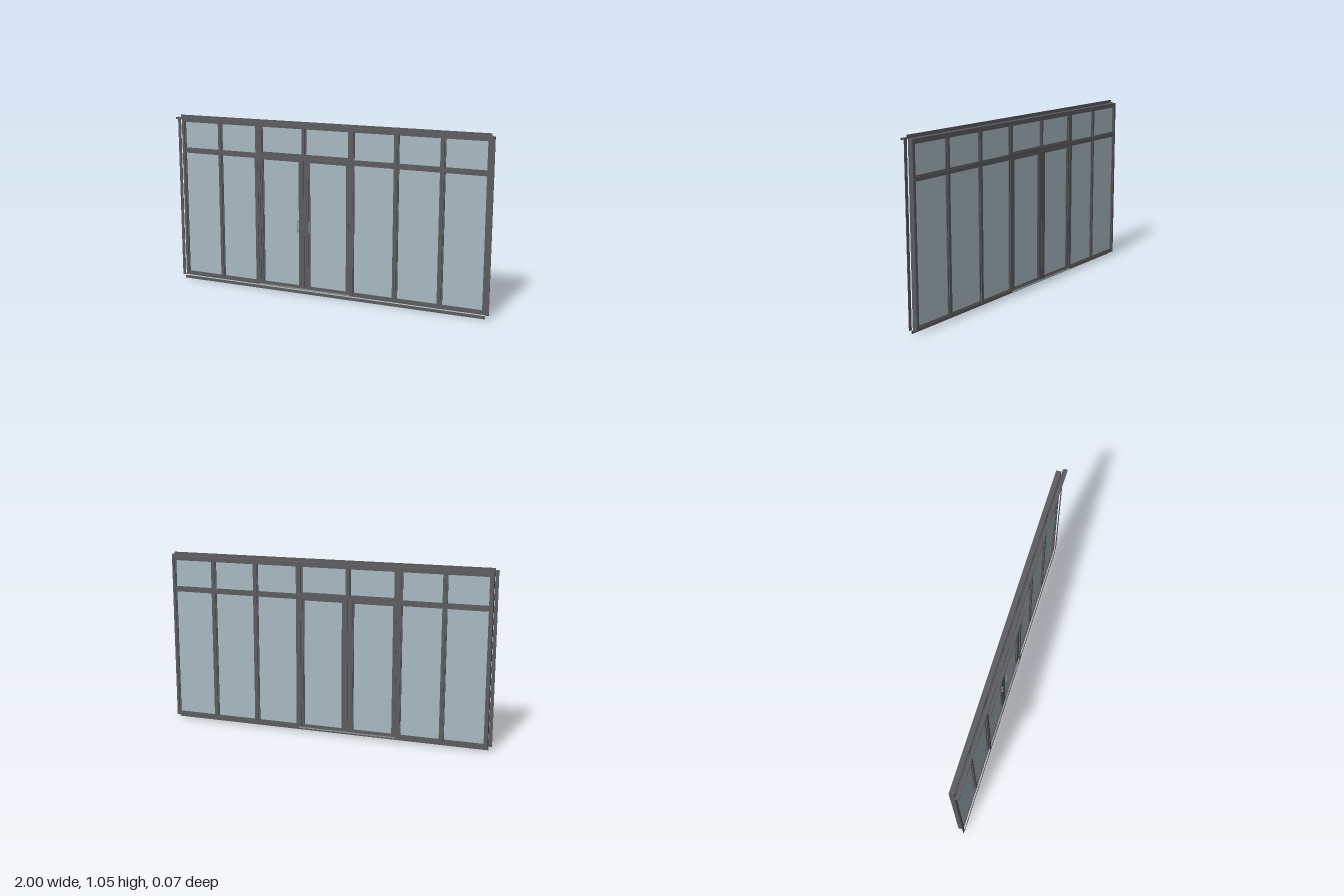
import * as THREE from 'three';

export function createModel() {
  const model = new THREE.Group();
  model.name = 'doorAndWindowWall';

  const frameMat = new THREE.MeshStandardMaterial({ color: 0x5c5c60 });
  frameMat.name = 'dark grey frame';
  const glassMat = new THREE.MeshStandardMaterial({ color: 0xa8bac2 });
  glassMat.name = 'pale blue glass';
  const metalMat = new THREE.MeshStandardMaterial({ color: 0x858f90 });
  metalMat.name = 'light metal';

  // Box given by its limits on each axis
  function box(name, x0, x1, y0, y1, z0, z1, mat = frameMat, parent = model) {
    const mesh = new THREE.Mesh(new THREE.BoxGeometry(x1 - x0, y1 - y0, z1 - z0), mat);
    mesh.position.set((x0 + x1) / 2, (y0 + y1) / 2, (z0 + z1) / 2);
    mesh.name = name;
    parent.add(mesh);
    return mesh;
  }

  function rectangle(target, [x0, x1, y0, y1]) {
    target.moveTo(x0, y0);
    target.lineTo(x1, y0);
    target.lineTo(x1, y1);
    target.lineTo(x0, y1);
    target.closePath();
    return target;
  }

  // Flat panel with rectangular openings
  function panel(name, outer, openings, z0, z1, parent = model) {
    const shape = rectangle(new THREE.Shape(), outer);
    for (const o of openings) shape.holes.push(rectangle(new THREE.Path(), o));
    const geometry = new THREE.ExtrudeGeometry(shape, { depth: z1 - z0, bevelEnabled: false });
    const mesh = new THREE.Mesh(geometry, frameMat);
    mesh.position.z = z0;
    mesh.name = name;
    parent.add(mesh);
  }

  const grow = ([x0, x1, y0, y1], d) => [x0 - d, x1 + d, y0 - d, y1 + d];
  const BEAD = 0.007;

  // Glass with a recessed bead around it
  function glazing(name, pane, z0, z1, parent = model) {
    panel(name + 'Bead', grow(pane, BEAD), [pane], z0, z1, parent);
    const [x0, x1, y0, y1] = pane;
    box(name + 'Glass', x0, x1, y0, y1, -0.015, -0.008, glassMat, parent);
  }

  // Fixed lights: tall panes beside the doors, short panes above
  const columns = [[-0.957, -0.727], [-0.698, -0.47], [0.176, 0.417], [0.449, 0.69], [0.722, 0.957]];
  const panes = [];
  for (const [x0, x1] of columns) {
    panes.push([x0, x1, 0.045, 0.808], [x0, x1, 0.84, 1.0]);
  }
  panes.push([-0.42, -0.16, 0.85, 1.0], [-0.13, 0.137, 0.85, 1.0]);
  const doorway = [-0.436, 0.146, 0.032, 0.82];
  panel('mainFrame', [-0.98, 0.98, 0.022, 1.028],
    [...panes.map((p) => grow(p, BEAD)), doorway], -0.026, 0.004);
  for (const p of panes) glazing('window', p, -0.021, -0.002);

  // Pair of doors mirrored about the middle of the doorway
  const middle = -0.145;
  for (const side of [-1, 1]) {
    const door = new THREE.Group();
    door.name = side < 0 ? 'rightDoor' : 'leftDoor';
    const span = (a, b) => [middle + side * a, middle + side * b].sort((p, q) => p - q);
    const pane = [...span(0.037, 0.27), 0.045, 0.803];
    panel('doorLeaf', [...span(0.001, 0.29), 0.033, 0.819], [grow(pane, BEAD)], -0.024, 0.002, door);
    glazing('door', pane, -0.02, -0.003, door);

    // Pull handle: a bar on two posts
    const [h0, h1] = span(0.033, 0.041);
    box('handleBar', h0, h1, 0.38, 0.45, 0.009, 0.0125, metalMat, door);
    box('handleLowerPost', h0, h1, 0.38, 0.387, 0.002, 0.009, metalMat, door);
    box('handleUpperPost', h0, h1, 0.443, 0.45, 0.002, 0.009, metalMat, door);
    model.add(door);

    // Thin cover strips beside the doorway and along the wall ends
    box('doorTrim', ...span(0.302, 0.322), 0.03, 0.83, 0.011, 0.0135);
    const ends = [side * 0.98, side].sort((p, q) => p - q);
    box('endTrim', ...ends, 0.022, 1.028, 0.011, 0.0135);
  }

  // Horizontal cover strips
  box('topTrim', -0.98, 0.98, 1.03, 1.046, 0.011, 0.0135);
  box('bottomTrim', -0.98, 0.98, 0, 0.018, 0.011, 0.0135);
  box('doorHeadTrim', -0.447, 0.157, 0.83, 0.842, 0.011, 0.0135);

  // Drip caps: a ledge with a small lip hanging from its front edge
  function dripCap(name, x0, x1, y) {
    box(name + 'Ledge', x0, x1, y - 0.003, y, 0.011, 0.035);
    box(name + 'Lip', x0, x1, y - 0.011, y - 0.003, 0.0325, 0.035);
  }
  dripCap('topCap', -1, 1, 1.031);
  dripCap('doorCap', -0.468, 0.178, 0.831);

  // Threshold running through below the doors
  box('threshold', -0.445, 0.157, 0.024, 0.029, -0.035, 0.0125, metalMat);

  return model;
}
